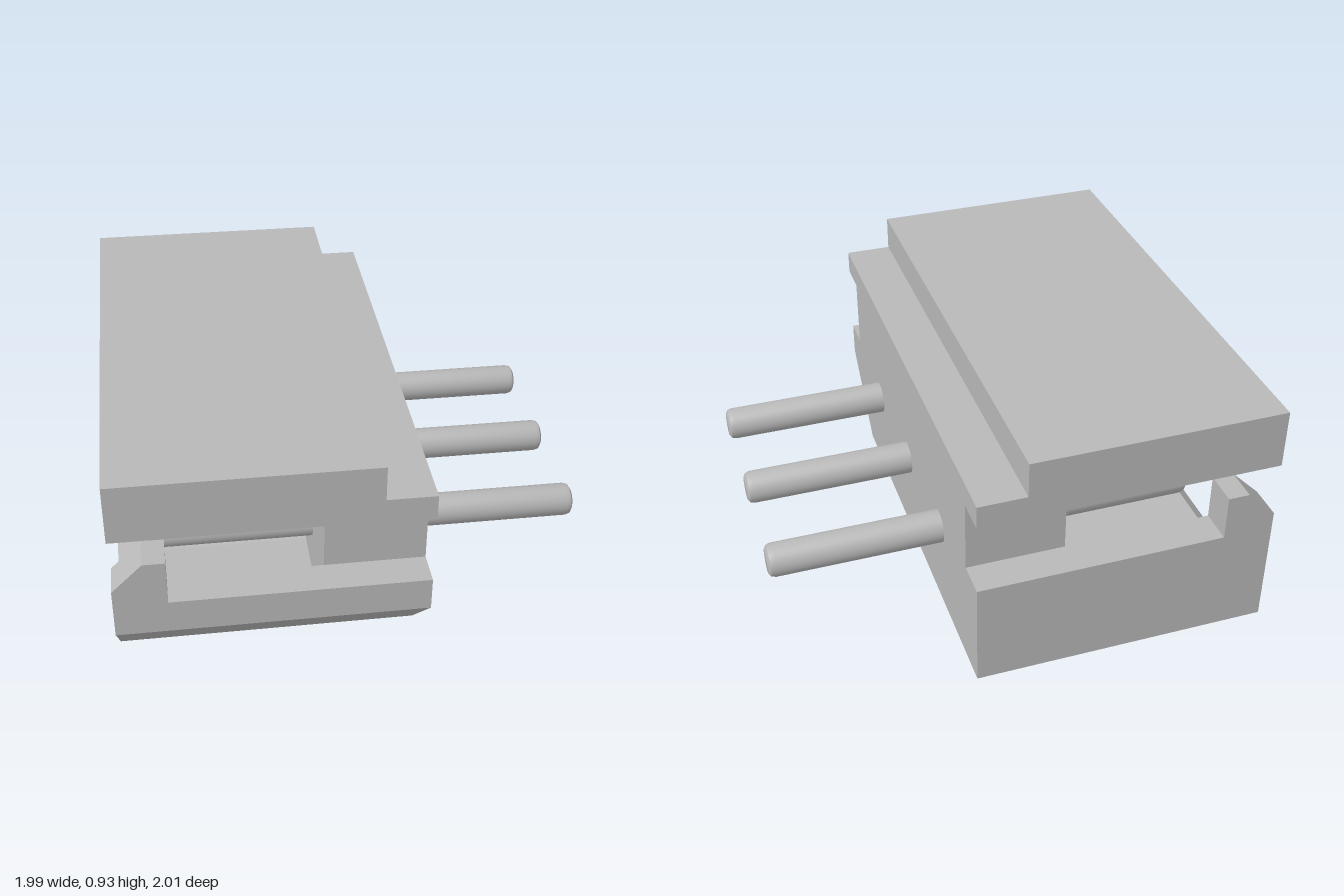
import * as THREE from 'three';
import { toCreasedNormals } from 'three/addons/utils/BufferGeometryUtils.js';

const HALF_X = 0.56, HALF_Z = 0.92, INNER_Z = 0.79, BLOCK_X = 0.19;
const PIN_Z = -0.015, PITCH = 0.445;

export function createModel() {
  const model = new THREE.Group();
  const connector = new THREE.Group();
  connector.name = 'connector';
  const grey = new THREE.MeshStandardMaterial({ color: 0xb8b8b8 });
  grey.name = 'grey';

  function add(name, geometry) {
    const mesh = new THREE.Mesh(geometry, grey);
    mesh.name = name;
    connector.add(mesh);
    return mesh;
  }
  const outline = (points) => new THREE.Shape(points.map(([a, b]) => new THREE.Vector2(a, b)));

  // Profile of [z, y] points swept along x
  function alongX(name, points, x0, x1) {
    const g = new THREE.ExtrudeGeometry(outline(points.map(([z, y]) => [-z, y])), { depth: x1 - x0, bevelEnabled: false });
    return add(name, g.rotateY(Math.PI / 2).translate(x0, 0, 0));
  }
  // Profile of [x, y] points swept along z
  function alongZ(name, points, z0, z1) {
    const g = new THREE.ExtrudeGeometry(outline(points), { depth: z1 - z0, bevelEnabled: false });
    return add(name, g.translate(0, 0, z0));
  }
  function box(name, x0, x1, y0, y1, z0, z1) {
    const g = new THREE.BoxGeometry(x1 - x0, y1 - y0, z1 - z0);
    return add(name, g.translate((x0 + x1) / 2, (y0 + y1) / 2, (z0 + z1) / 2));
  }

  // Lower housing: open tray on the left, solid on the right, chamfered front edge
  const outer = [[HALF_Z, 0.42], [HALF_Z, 0.29], [0.64, 0], [-HALF_Z, 0], [-HALF_Z, 0.42]];
  alongX('tray', [...outer, [-INNER_Z, 0.42], [-INNER_Z, 0.33], [-0.55, 0.08],
    [0.55, 0.08], [INNER_Z, 0.33], [INNER_Z, 0.42]], -HALF_X, BLOCK_X);
  alongX('baseBlock', outer, BLOCK_X, HALF_X);
  alongZ('trayFloor', [[-HALF_X, 0.08], [-0.5, 0.14], [BLOCK_X, 0.14], [BLOCK_X, 0.08]], -0.6, 0.6);

  // Ridges on the floor between the pins
  for (const side of [-0.5, 0.5]) {
    const z = PIN_Z + side * PITCH;
    alongX('floorRidge', [[z - 0.08, 0.14], [z, 0.22], [z + 0.08, 0.14]], -0.5, BLOCK_X);
  }

  // Block joining the base and the cap
  box('pinBlock', BLOCK_X, HALF_X, 0.42, 0.7, -INNER_Z, INNER_Z);

  // Stepped cap with a recessed, chamfered underside
  alongZ('cap', [[-HALF_X, 0.86], [-0.5, 0.8], [BLOCK_X, 0.8], [BLOCK_X, 0.7], [HALF_X, 0.7],
    [HALF_X, 0.79], [0.38, 0.79], [0.38, 0.925], [-HALF_X, 0.925]], -HALF_Z, HALF_Z);

  // Cap rims and latch tabs at both ends
  for (const z0 of [-HALF_Z, INNER_Z]) {
    const z1 = z0 + HALF_Z - INNER_Z;
    box('capRim', -HALF_X, BLOCK_X, 0.7, 0.86, z0, z1);
    alongZ('latchTab', [[-HALF_X, 0.42], [-HALF_X, 0.485], [-0.45, 0.595], [-0.37, 0.595], [-0.37, 0.42]], z0, z1);
  }

  // Pins with slightly rounded ends
  const start = -0.42, end = 1.21, r = 0.063;
  const profile = [[0, start], [0.045, start], [0.058, start + 0.008], [r, start + 0.025],
    [r, end - 0.025], [0.058, end - 0.008], [0.045, end], [0, end]];
  const lathe = new THREE.LatheGeometry(profile.map(([a, b]) => new THREE.Vector2(a, b)), 32);
  const pinGeometry = toCreasedNormals(lathe.rotateZ(-Math.PI / 2), 0.7);
  for (const i of [-1, 0, 1]) {
    add('pin', pinGeometry).position.set(0, 0.35, PIN_Z + i * PITCH);
  }

  // The connector sits turned and very slightly tilted
  connector.rotation.set(0, THREE.MathUtils.degToRad(10), THREE.MathUtils.degToRad(-0.4));
  connector.position.set(-0.285, 0.004, -0.003);
  model.add(connector);
  return model;
}
